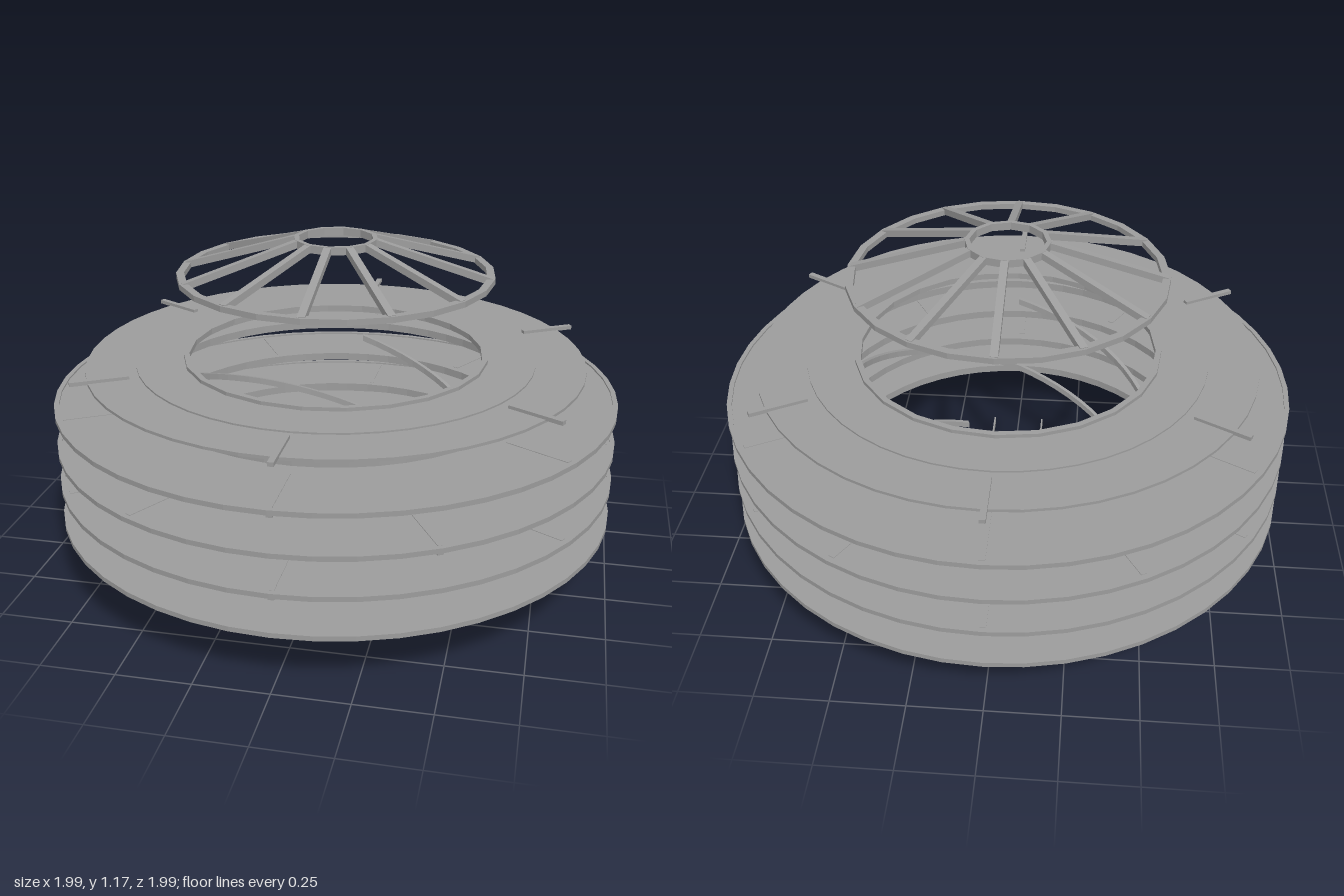
import * as THREE from 'three';

const grey = new THREE.MeshStandardMaterial({ color: 0x9c9c9c, side: THREE.DoubleSide, flatShading: true });

function add(parent, name, geometry) {
  const mesh = new THREE.Mesh(geometry, grey);
  mesh.name = name;
  parent.add(mesh);
  return mesh;
}

// Flat ring with rectangular section, from y0 to y1
function ring(r0, r1, y0, y1, sides = 48) {
  const p = [[r0, y0], [r1, y0], [r1, y1], [r0, y1], [r0, y0]].map(([x, y]) => new THREE.Vector2(x, y));
  return new THREE.LatheGeometry(p, sides);
}

// Square beam between two points (any turn of the parent comes afterwards)
function beam(parent, name, a, b, width, height) {
  const A = new THREE.Vector3(...a), B = new THREE.Vector3(...b);
  const m = add(parent, name, new THREE.BoxGeometry(width, height, A.distanceTo(B)));
  m.position.copy(A).add(B).multiplyScalar(0.5);
  m.lookAt(B);
}

// Thin low walls along a plan polyline of [x, z] points
function walls(parent, name, pts) {
  for (let i = 0; i < pts.length - 1; i++) {
    const [ax, az] = pts[i], [bx, bz] = pts[i + 1];
    beam(parent, name, [ax, 0.015, az], [bx, 0.015, bz], 0.006, 0.026);
  }
}

// Six radial arms from y0 to y1, with feet when they hang below a slab
function arms(parent, name, r0, r1, y0, y1, turn, feet) {
  for (let i = 0; i < 6; i++) {
    const g = new THREE.Group();
    g.name = name;
    const y = (y0 + y1) / 2;
    beam(g, 'arm', [0, y, r0], [0, y, r1], 0.02, y1 - y0);
    if (feet) {
      beam(g, 'innerFoot', [0, y0, r0], [0, y0, r0 + 0.015], 0.02, 0.02);
      beam(g, 'outerFoot', [0, y0, r1 - 0.025], [0, y0, r1], 0.02, 0.02);
    }
    g.rotation.y = turn + i * Math.PI / 3;
    parent.add(g);
  }
}

// Ramp rising around the well: [height, degrees from its middle] joined by straight climbs
const climb = [[0.022, -68], [0.1, -45], [0.3, 0], [0.46, 45], [0.615, 90]];

function ramp(radius, midAngle) {
  const pos = [], idx = [], steps = 8, n = (climb.length - 1) * steps;
  for (let i = 0; i <= n; i++) {
    const k = Math.min(Math.floor(i / steps), climb.length - 2), t = i / steps - k;
    const y = THREE.MathUtils.lerp(climb[k][0], climb[k + 1][0], t);
    const a = midAngle + THREE.MathUtils.degToRad(THREE.MathUtils.lerp(climb[k][1], climb[k + 1][1], t));
    for (const [dr, dy] of [[-0.008, -0.012], [0.008, -0.012], [0.008, 0.012], [-0.008, 0.012]])
      pos.push((radius + dr) * Math.sin(a), y + dy, (radius + dr) * Math.cos(a));
    if (i === n) break;
    for (let c = 0; c < 4; c++) {
      const p = i * 4 + c, q = i * 4 + (c + 1) % 4;
      idx.push(p, q, p + 4, q, q + 4, p + 4);
    }
  }
  const e = n * 4;
  idx.push(0, 2, 1, 0, 3, 2, e, e + 1, e + 2, e, e + 2, e + 3);
  const g = new THREE.BufferGeometry();
  g.setAttribute('position', new THREE.Float32BufferAttribute(pos, 3));
  g.setIndex(idx);
  g.computeVertexNormals();
  return g;
}

export function createModel() {
  const model = new THREE.Group();
  model.name = 'roundBuilding';

  // Four ring floors with a curb around the central well
  [0.2, 0.335, 0.47, 0.61].forEach((y, i) => {
    const floor = new THREE.Group();
    floor.name = 'floor' + (i + 1);
    add(floor, 'slab', ring(0.684, 0.995, y, y + 0.011));
    add(floor, 'curb', ring(0.664, 0.684, y + 0.006, y + 0.035));
    add(floor, 'outerRim', ring(0.978, 0.995, y + 0.011, y + 0.017));
    if (i > 0) arms(floor, 'supportArm', 0.74, 0.97, y - 0.01, y + 0.013, i === 2 ? Math.PI / 6 : 0, true);
    model.add(floor);
  });

  // Roof ring, its raised step, curb and radial arms
  const roof = new THREE.Group();
  roof.name = 'roof';
  add(roof, 'roofSlab', ring(0.53, 0.88, 0.731, 0.741));
  add(roof, 'roofStep', ring(0.53, 0.705, 0.741, 0.747));
  add(roof, 'roofCurb', ring(0.52, 0.54, 0.741, 0.76, 24));
  arms(roof, 'roofArm', 0.74, 0.94, 0.738, 0.752, 0, false);
  model.add(roof);

  // Skylight frame floating above the well
  const skylight = new THREE.Group();
  skylight.name = 'skylight';
  add(skylight, 'outerRing', ring(0.525, 0.552, 1.035, 1.055, 24));
  add(skylight, 'innerRing', ring(0.13, 0.147, 1.145, 1.172, 12));
  for (let i = 0; i < 12; i++) {
    const a = i * Math.PI / 6, s = Math.sin(a), c = Math.cos(a);
    beam(skylight, 'rafter', [0.14 * s, 1.16, 0.14 * c], [0.54 * s, 1.045, 0.54 * c], 0.026, 0.024);
  }
  model.add(skylight);

  // Four ramps winding up through the well
  for (let i = 0; i < 4; i++) add(model, 'spiralRamp', ramp(0.557, i * Math.PI / 2));

  // Ground floor partitions, mirrored left and right
  const base = new THREE.Group();
  base.name = 'groundFloor';
  const side = [[0, -0.37], [0.12, -0.37], [0.14, -0.4], [0.18, -0.37], [0.22, -0.37], [0.27, -0.31], [0.25, -0.27],
    [0.31, -0.2], [0.38, -0.23], [0.41, -0.18], [0.42, -0.1], [0.37, -0.07],
    [0.37, 0.06], [0.43, 0.08], [0.4, 0.22], [0.33, 0.2], [0.25, 0.32], [0.29, 0.37], [0.19, 0.44], [0.17, 0.4]];
  for (const s of [-1, 1]) {
    walls(base, 'partition', side.map(([x, z]) => [s * x, z]));
    walls(base, 'coreWall', [[0, -0.225], [s * 0.11, -0.225], [s * 0.26, 0], [s * 0.11, 0.225], [0, 0.225]]);
    walls(base, 'entranceWall', [[s * 0.1, 0.225], [s * 0.1, 0.57]]);
    walls(base, 'rearWall', [[s * 0.045, -0.225], [s * 0.045, -0.37]]);
    beam(base, 'post', [s * 0.045, 0.002, 0.225], [s * 0.045, 0.065, 0.225], 0.008, 0.008);
  }

  // U-shaped niches around the edge
  for (const deg of [90, -90, 148, -148]) {
    const niche = new THREE.Group();
    niche.name = 'niche';
    walls(niche, 'nicheWall', [[-0.07, 0.57], [-0.07, 0.49], [0.07, 0.49], [0.07, 0.57]]);
    niche.rotation.y = THREE.MathUtils.degToRad(deg);
    base.add(niche);
  }
  model.add(base);
  return model;
}
